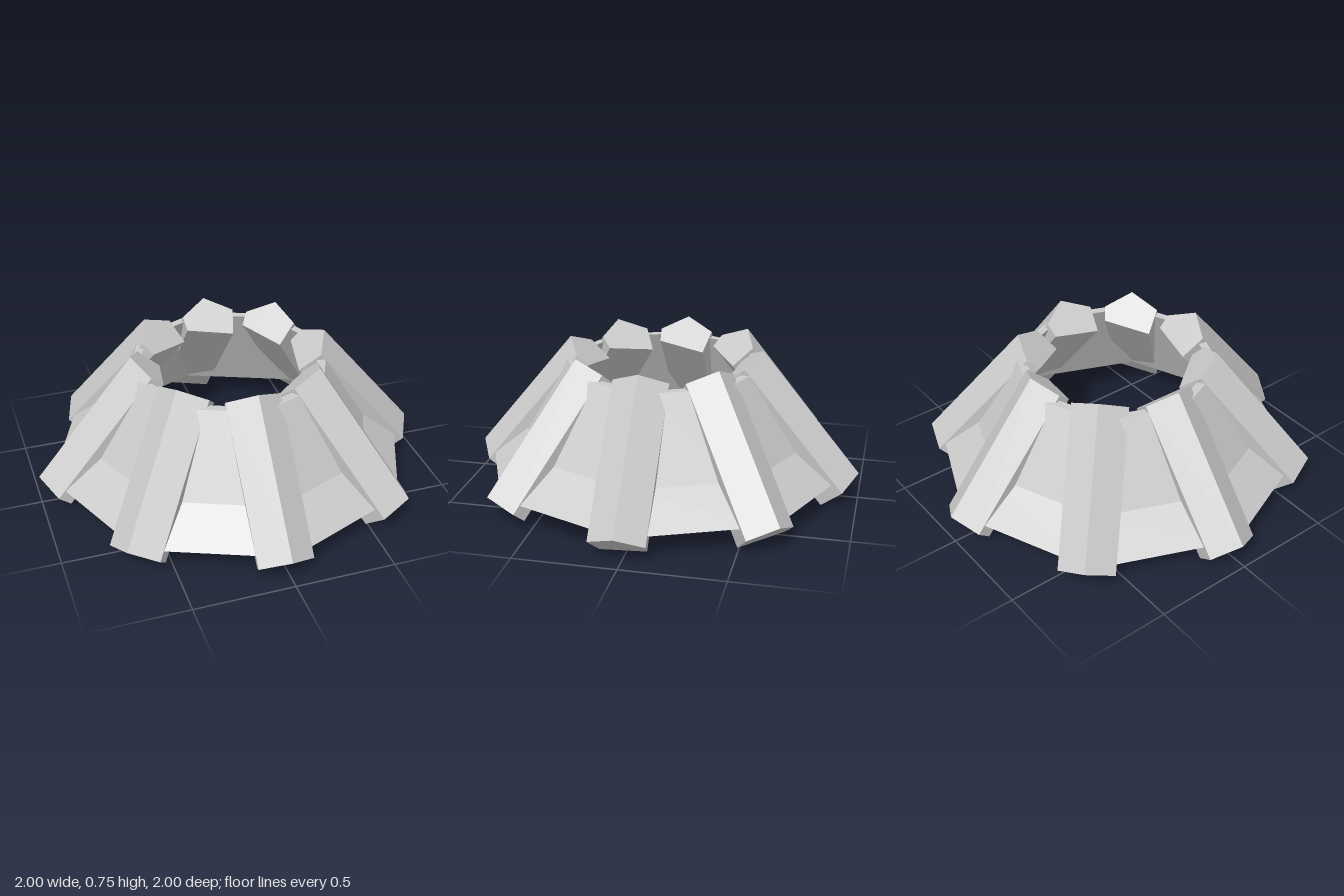
import * as THREE from 'three';

const SIDES = 8;

export function createModel() {
  const model = new THREE.Group();
  model.name = 'sloped ring';
  const material = new THREE.MeshStandardMaterial({ color: 0xcccccc, flatShading: true });

  // Eight-sided wall: flared skirt, steeper upper face, top rim, inner face, bottom rim
  const profile = [
    [0.94, 0.125], [0.75, 0.28], [0.52, 0.665], [0.475, 0.665], [0.76, 0.125], [0.94, 0.125],
  ].map(([r, y]) => new THREE.Vector2(r, y));
  const wall = new THREE.Mesh(new THREE.LatheGeometry(profile, SIDES), material);
  wall.name = 'wall';
  model.add(wall);

  // Uneven five-sided beam section; its ridge is the outermost corner
  const section = new THREE.Shape([
    [-0.02, 0], [-0.16, -0.09], [-0.13, -0.225], [0.108, -0.168], [0.115, -0.09],
  ].map(([x, y]) => new THREE.Vector2(x, y)));
  const beamGeometry = new THREE.ExtrudeGeometry(section, { depth: 0.787, bevelEnabled: false });

  // Lean the beam so it runs from the top rim down and outward
  const slope = Math.atan2(0.603, 0.495);
  const c = Math.cos(slope), s = Math.sin(slope);
  beamGeometry.applyMatrix4(new THREE.Matrix4().makeBasis(
    new THREE.Vector3(1, 0, 0),
    new THREE.Vector3(0, c, s),
    new THREE.Vector3(0, -s, c),
  ).setPosition(0, 0.752, 0.5));

  // One beam over every corner of the wall
  for (let i = 0; i < SIDES; i++) {
    const beam = new THREE.Mesh(beamGeometry, material);
    beam.name = `beam${i + 1}`;
    beam.rotation.y = (i / SIDES) * Math.PI * 2;
    model.add(beam);
  }
  return model;
}
